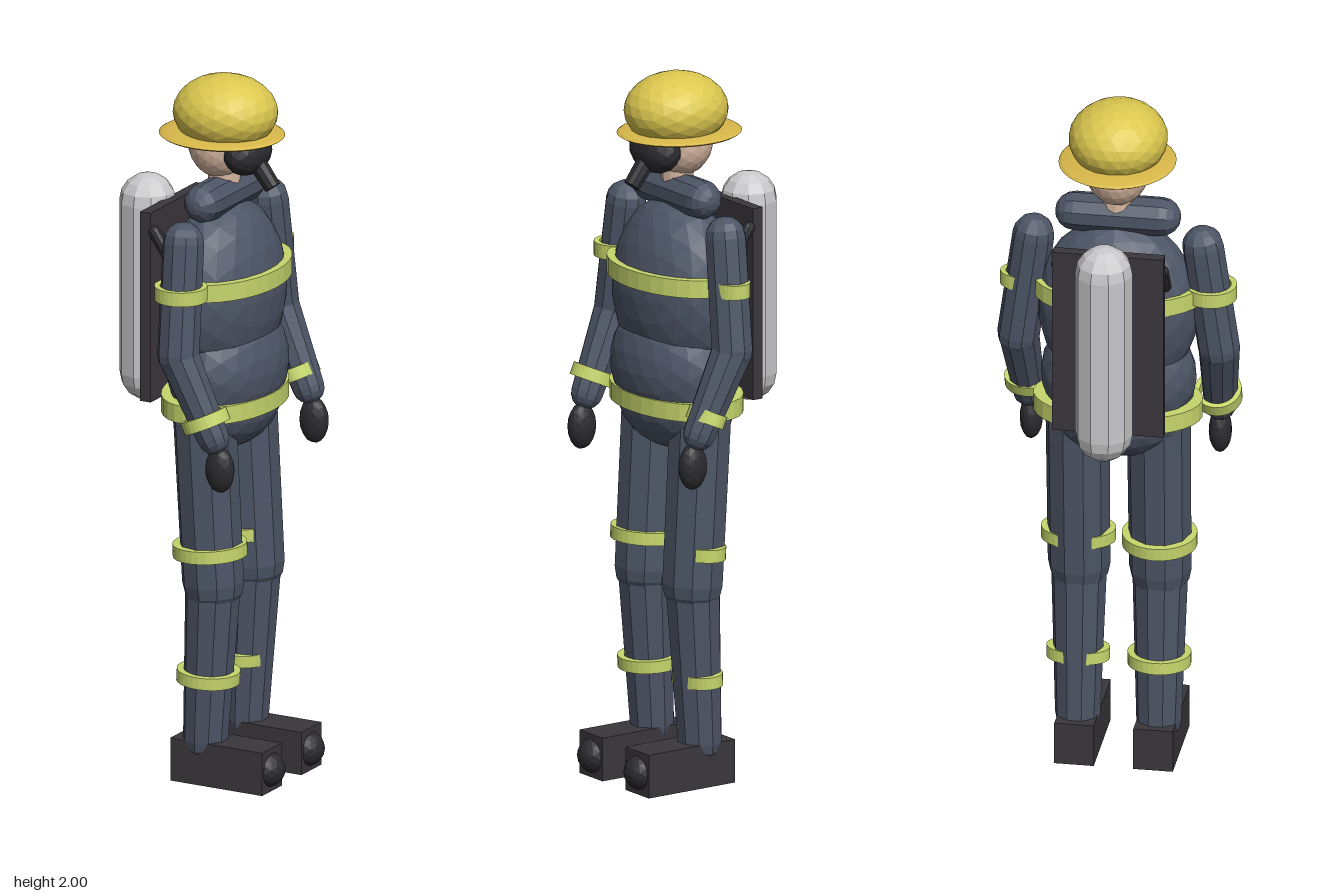
import * as THREE from 'three';

const mat = (name, color) => {
  const m = new THREE.MeshStandardMaterial({ color });
  m.name = name;
  return m;
};

export function createModel() {
  const model = new THREE.Group();
  model.name = 'firefighter';
  const coat = mat('coat navy', 0x4d5566);
  const band = mat('reflective lime', 0xc6d66c);
  const helmetYellow = mat('helmet yellow', 0xdcc84f);
  const brimYellow = mat('brim yellow', 0xd8b84a);
  const skin = mat('skin', 0xd8b8a2);
  const black = mat('rubber black', 0x2c2b30);
  const boot = mat('boot charcoal', 0x3b373d);
  const steel = mat('tank silver', 0xc9c9cb);

  const V = (x, y, z) => new THREE.Vector3(x, y, z);
  const UP = V(0, 1, 0);

  // Faceted mesh
  const add = (name, geo, material, pos, parent = model) => {
    const flat = geo.index ? geo.toNonIndexed() : geo;
    flat.computeVertexNormals();
    const mesh = new THREE.Mesh(flat, material);
    mesh.name = name;
    mesh.position.copy(pos);
    parent.add(mesh);
    return mesh;
  };

  const ellipsoid = (name, material, pos, rx, ry, rz, detail = 3, parent = model) =>
    add(name, new THREE.IcosahedronGeometry(1, detail).scale(rx, ry, rz), material, pos, parent);

  // Tapered capsule whose round ends are centred on a and b
  const limb = (name, material, a, b, ra, rb, parent = model, sides = 10) => {
    const len = a.distanceTo(b), pts = [], n = 4;
    for (let i = 0; i <= n; i++) {
      const t = (i / n) * Math.PI / 2;
      pts.push(new THREE.Vector2(ra * Math.sin(t), -ra * Math.cos(t)));
    }
    for (let i = 0; i <= n; i++) {
      const t = (i / n) * Math.PI / 2;
      pts.push(new THREE.Vector2(rb * Math.cos(t), len + rb * Math.sin(t)));
    }
    pts[0].x = pts[pts.length - 1].x = 0;
    const mesh = add(name, new THREE.LatheGeometry(pts, sides), material, a, parent);
    mesh.quaternion.setFromUnitVectors(UP, b.clone().sub(a).normalize());
    return mesh;
  };

  // Flat elliptical hoop; axis tilts it to follow a limb
  const hoop = (name, pos, rx, rz, h, parent = model, axis = UP) => {
    const k = 0.78;
    const pts = [[k, -h / 2], [1, -h / 2], [1, h / 2], [k, h / 2], [k, -h / 2]]
      .map(([x, y]) => new THREE.Vector2(x, y));
    const mesh = add(name, new THREE.LatheGeometry(pts, 32).scale(rx, 1, rz), band, pos, parent);
    mesh.quaternion.setFromUnitVectors(UP, axis.clone().normalize());
    return mesh;
  };

  // Torso
  ellipsoid('chest', coat, V(0.04, 1.385, 0), 0.15, 0.265, 0.225);
  ellipsoid('belly', coat, V(0.05, 1.17, 0), 0.15, 0.19, 0.217);
  ellipsoid('hips', coat, V(0.04, 1.07, 0), 0.14, 0.135, 0.2);
  hoop('chestBand', V(0.047, 1.438, 0), 0.156, 0.236, 0.05);
  hoop('hemBand', V(0.04, 1.083, 0), 0.153, 0.235, 0.05);
  limb('collar', coat, V(0.04, 1.663, -0.12), V(0.04, 1.663, 0.12), 0.055, 0.055);

  // Head, mask and helmet
  add('neck', new THREE.CylinderGeometry(0.045, 0.045, 0.12, 12), skin, V(0.037, 1.7, 0));
  ellipsoid('head', skin, V(0.025, 1.805, 0), 0.09, 0.1, 0.088);
  ellipsoid('mask', black, V(0.112, 1.79, 0), 0.058, 0.065, 0.092, 2);
  const hose = add('maskRegulator', new THREE.CylinderGeometry(0.028, 0.024, 0.11, 10), black, V(0.157, 1.742, 0));
  hose.rotation.z = 0.66;
  ellipsoid('helmetDome', helmetYellow, V(0.041, 1.895, 0), 0.148, 0.105, 0.137);
  add('helmetBrim', new THREE.SphereGeometry(1, 32, 10).scale(0.178, 0.017, 0.162), brimYellow, V(0.03, 1.831, 0));

  // Breathing apparatus
  limb('airTank', steel, V(-0.204, 1.11, 0), V(-0.204, 1.6, 0), 0.08, 0.08);
  add('backPlate', new THREE.BoxGeometry(0.033, 0.545, 0.31), boot, V(-0.124, 1.348, 0));

  for (const s of [1, -1]) {
    const side = s > 0 ? 'right' : 'left';
    limb(side + 'Strap', black, V(-0.1, 1.565, s * 0.146), V(-0.055, 1.5, s * 0.146), 0.018, 0.018);

    // Arm
    const arm = new THREE.Group();
    arm.name = side + 'Arm';
    model.add(arm);
    const shoulder = V(0.042, 1.582, s * 0.236);
    const elbow = V(0.05, 1.27, s * 0.279);
    const wrist = V(0.152, 1.045, s * 0.266);
    limb('upperArm', coat, elbow, shoulder, 0.059, 0.058, arm);
    limb('forearm', coat, wrist, elbow, 0.046, 0.058, arm);
    ellipsoid('glove', black, V(0.172, 0.955, s * 0.263), 0.043, 0.066, 0.032, 2, arm);
    const slim = s > 0 ? 1 : 0.7; // hoops on one side are narrower front to back
    hoop('upperArmBand', V(0.046, 1.445, s * 0.258), 0.074 * slim, 0.071, 0.04, arm);
    hoop('cuffBand', V(0.127, 1.09, s * 0.265), 0.068 * slim, 0.065, 0.036, arm, V(-0.1, 0.225, 0));

    // Leg
    const leg = new THREE.Group();
    leg.name = side + 'Leg';
    model.add(leg);
    const z = s * 0.113;
    const hip = V(0.04, 1.04, z), knee = V(0.066, 0.575, z), ankle = V(0.042, 0.12, z);
    limb('thigh', coat, knee, hip, 0.087, 0.089, leg);
    limb('shin', coat, ankle, knee, 0.063, 0.078, leg);
    hoop('thighBand', V(0.056, 0.67, z), 0.103 * slim, 0.104, 0.036, leg, V(-0.05, 1, 0));
    hoop('shinBand', V(0.051, 0.305, z), 0.088 * slim, 0.088, 0.034, leg, V(0.05, 1, 0));
    add('boot', new THREE.BoxGeometry(0.29, 0.123, 0.11), boot, V(0.105, 0.0615, s * 0.11), leg);
    ellipsoid('bootToe', black, V(0.237, 0.061, s * 0.11), 0.048, 0.05, 0.051, 2, leg);
  }
  return model;
}
